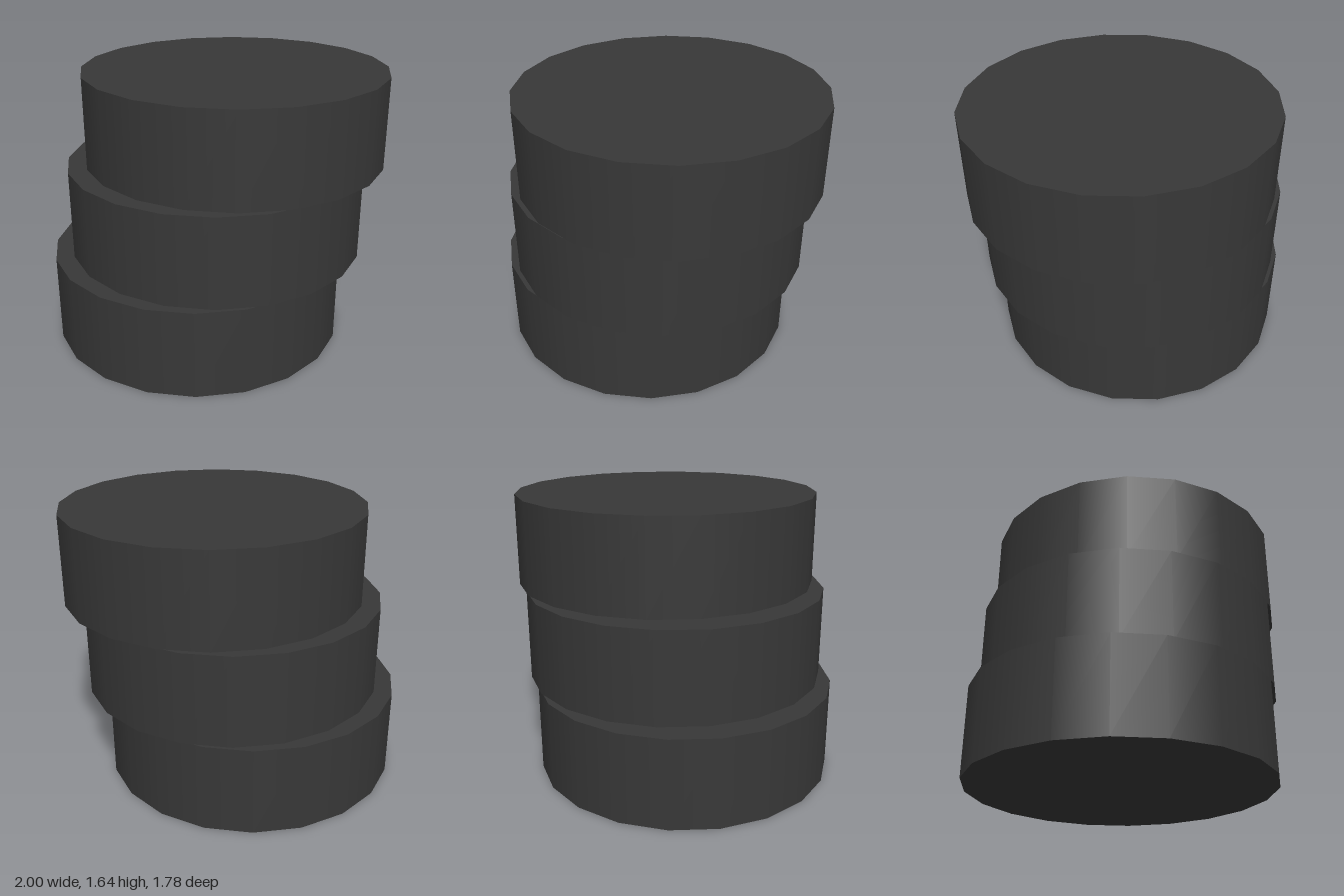
import * as THREE from 'three';

export function createModel() {
  const model = new THREE.Group();
  model.name = 'discStack';

  const charcoal = new THREE.MeshStandardMaterial({ color: 0x383838 });
  charcoal.name = 'charcoal';

  const radius = 0.889, height = 0.533, rise = 0.5555, shift = 0.111;
  const disc = new THREE.CylinderGeometry(radius, radius, height, 20);

  // Three equal discs, each stepped sideways with a thin gap between
  ['bottomDisc', 'middleDisc', 'topDisc'].forEach((name, i) => {
    const mesh = new THREE.Mesh(disc, charcoal);
    mesh.name = name;
    mesh.position.set((i - 1) * shift, height / 2 + i * rise, 0);
    model.add(mesh);
  });

  return model;
}
